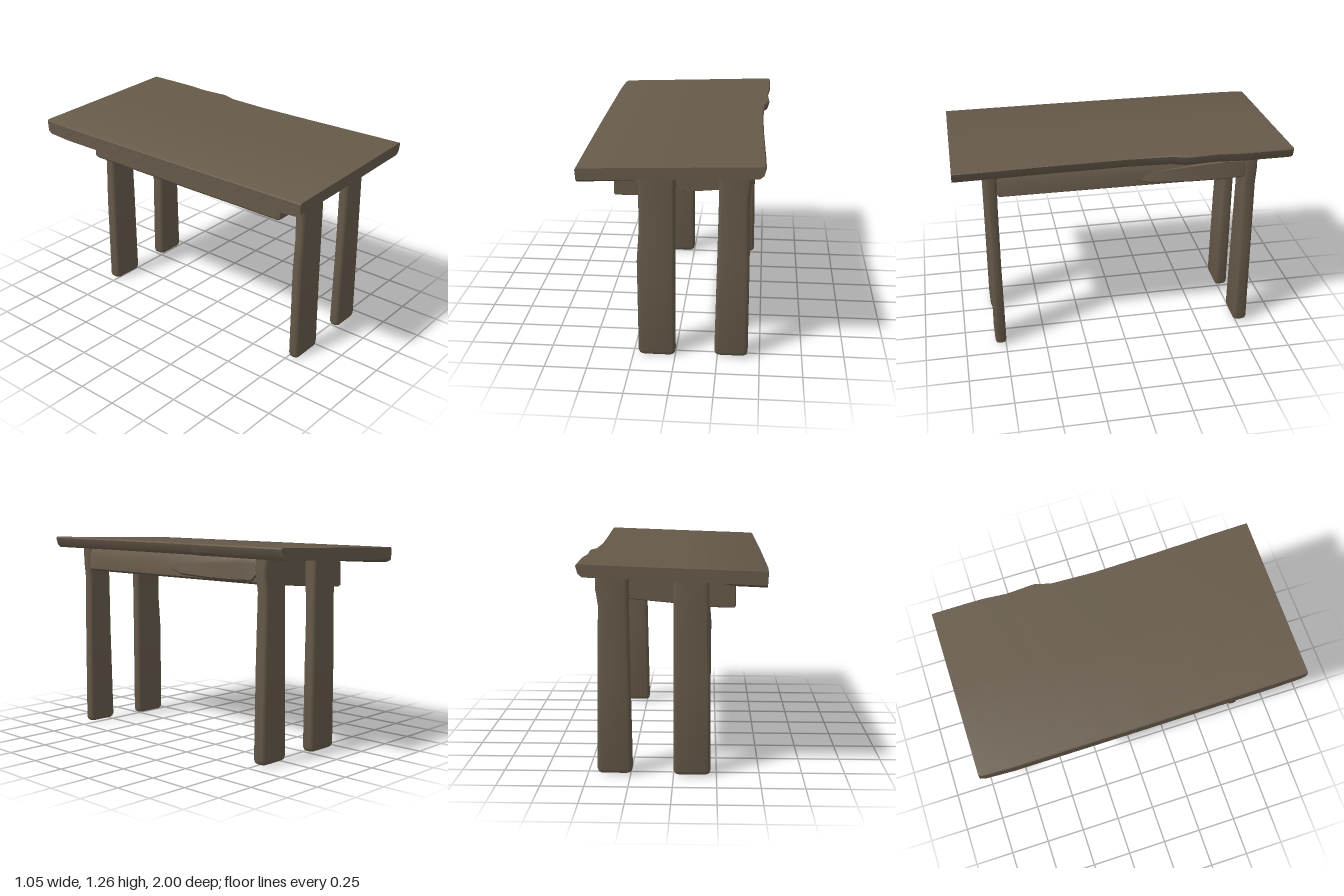
import * as THREE from 'three';
import { toCreasedNormals } from 'three/addons/utils/BufferGeometryUtils.js';

const wood = new THREE.MeshStandardMaterial({ color: 0x655949 });
wood.name = 'dark weathered wood';

// Joins equal-sized rings of points into a closed solid with capped ends.
function loft(name, rings) {
  const n = rings[0].length, last = (rings.length - 1) * n, index = [];
  for (let i = 0; i < rings.length - 1; i++) {
    for (let j = 0; j < n; j++) {
      const a = i * n + j, b = i * n + (j + 1) % n;
      index.push(a, b, b + n, a, b + n, a + n);
    }
  }
  for (let j = 1; j < n - 1; j++) {
    index.push(0, j + 1, j, last, last + j, last + j + 1);
  }
  const geometry = new THREE.BufferGeometry();
  geometry.setAttribute('position', new THREE.Float32BufferAttribute(rings.flat(2), 3));
  geometry.setIndex(index);
  const mesh = new THREE.Mesh(toCreasedNormals(geometry, 0.6), wood);
  mesh.name = name;
  return mesh;
}

// Rounded rectangle lying flat at height y.
function plankRing(y, x0, x1, z0, z1, inset = 0) {
  const r = 0.022, ring = [];
  const cx = (x0 + x1) / 2, cz = (z0 + z1) / 2;
  const hx = (x1 - x0) / 2 - r - inset, hz = (z1 - z0) / 2 - r - inset * 0.8;
  for (let q = 0; q < 4; q++) {
    const sx = q === 0 || q === 3 ? 1 : -1, sz = q < 2 ? 1 : -1;
    for (let k = 0; k <= 3; k++) {
      const a = (q + k / 3) * Math.PI / 2;
      ring.push([cx + sx * hx + r * Math.cos(a), y, cz - sz * hz - r * Math.sin(a)]);
    }
  }
  return ring;
}

// Leg plank with a softly rounded foot; levels are [y, x0, x1, z0, z1].
function leg(name, levels) {
  const [y, ...foot] = levels[0];
  const rings = [[0, 0.014], [0.008, 0.005], [0.025, 0]]
    .map(([dy, inset]) => plankRing(y + dy, ...foot, inset));
  levels.slice(1).forEach((level) => rings.push(plankRing(...level)));
  return loft(name, rings);
}

export function createModel() {
  const table = new THREE.Group();
  table.name = 'table';

  // Sloping top with a wavy live edge: [z, left x, right x, left underside y]
  const stations = [
    [-1, -0.515, 0.52, 1.15], [-0.97, -0.52, 0.522, 1.135], [-0.8, -0.527, 0.523, 1.13],
    [-0.68, -0.527, 0.522, 1.13], [-0.54, -0.527, 0.51, 1.13], [-0.36, -0.527, 0.52, 1.13],
    [-0.27, -0.527, 0.492, 1.13], [0, -0.527, 0.482, 1.13], [0.4, -0.525, 0.49, 1.13],
    [0.8, -0.522, 0.503, 1.13], [0.97, -0.52, 0.507, 1.14], [1, -0.52, 0.508, 1.16],
  ];
  table.add(loft('tabletop', stations.map(([z, l, r, low]) => [
    [l + 0.004, low, z], [-0.35, low + 0.007, z], [-0.19, 1.167, z], [0.25, 1.183, z],
    [r - 0.035, 1.19, z], [r - 0.012, 1.21, z], [r, 1.242 + r * 0.02, z],
    [r - 0.006, 1.242 + r * 0.035, z], [0, 1.242, z], [l + 0.01, 1.225, z], [l, 1.218, z],
  ])));

  // Solid apron with a rising underside
  table.add(loft('apron', [-0.745, -0.73, 0, 0.73, 0.745].map((z) => {
    const e = Math.abs(z) > 0.74 ? 0.006 : 0;
    return [
      [-0.345 + e, 0.98 + e, z], [-0.2, 0.983 + e, z], [0, 1.005 + e, z], [0.41, 1.042 + e, z],
      [0.432 - e, 1.055, z], [0.43 - e, 1.15, z], [0.405, 1.195, z], [0, 1.18, z],
      [-0.345 + e, 1.15, z], [-0.352 + e, 1.1, z], [-0.352 + e, 0.99, z],
    ];
  })));

  // Raised sliver on the apron face: [z, low y, high y, outer x]
  const bulge = [
    [-0.75, 1.1, 1.14, 0.432], [-0.72, 1.06, 1.175, 0.448], [-0.62, 1.055, 1.18, 0.452],
    [-0.4, 1.055, 1.165, 0.448], [-0.15, 1.065, 1.15, 0.442], [-0.05, 1.09, 1.11, 0.432],
  ];
  table.add(loft('apronSliver', bulge.map(([z, lo, hi, x]) => [
    [0.4, lo, z], [x - 0.01, lo, z], [x, lo + 0.01, z], [x - 0.012, hi - 0.015, z], [0.41, hi, z],
  ])));

  // Four plank legs
  table.add(
    leg('frontRightLeg', [
      [0, -0.22, 0, 0.747, 0.815], [0.6, -0.222, 0.002, 0.75, 0.812],
      [0.8, -0.207, 0.003, 0.75, 0.812], [1.05, -0.207, 0.004, 0.747, 0.812],
      [1.19, -0.207, 0.004, 0.735, 0.816],
    ]),
    leg('frontLeftLeg', [
      [0.012, 0.232, 0.43, 0.747, 0.815], [0.6, 0.242, 0.428, 0.75, 0.812],
      [1.0, 0.248, 0.422, 0.748, 0.812], [1.1, 0.248, 0.43, 0.745, 0.814],
      [1.2, 0.248, 0.43, 0.735, 0.816],
    ]),
    leg('backRightLeg', [
      [0.005, -0.215, 0, -0.815, -0.735], [0.6, -0.212, 0, -0.815, -0.74],
      [0.85, -0.203, 0, -0.815, -0.745], [1.19, -0.203, 0, -0.816, -0.73],
    ]),
    leg('backLeftLeg', [
      [0.012, 0.24, 0.443, -0.818, -0.733], [0.6, 0.248, 0.435, -0.816, -0.735],
      [1.0, 0.252, 0.425, -0.815, -0.738], [1.1, 0.252, 0.44, -0.815, -0.735],
      [1.2, 0.252, 0.435, -0.816, -0.725],
    ]),
  );
  return table;
}
